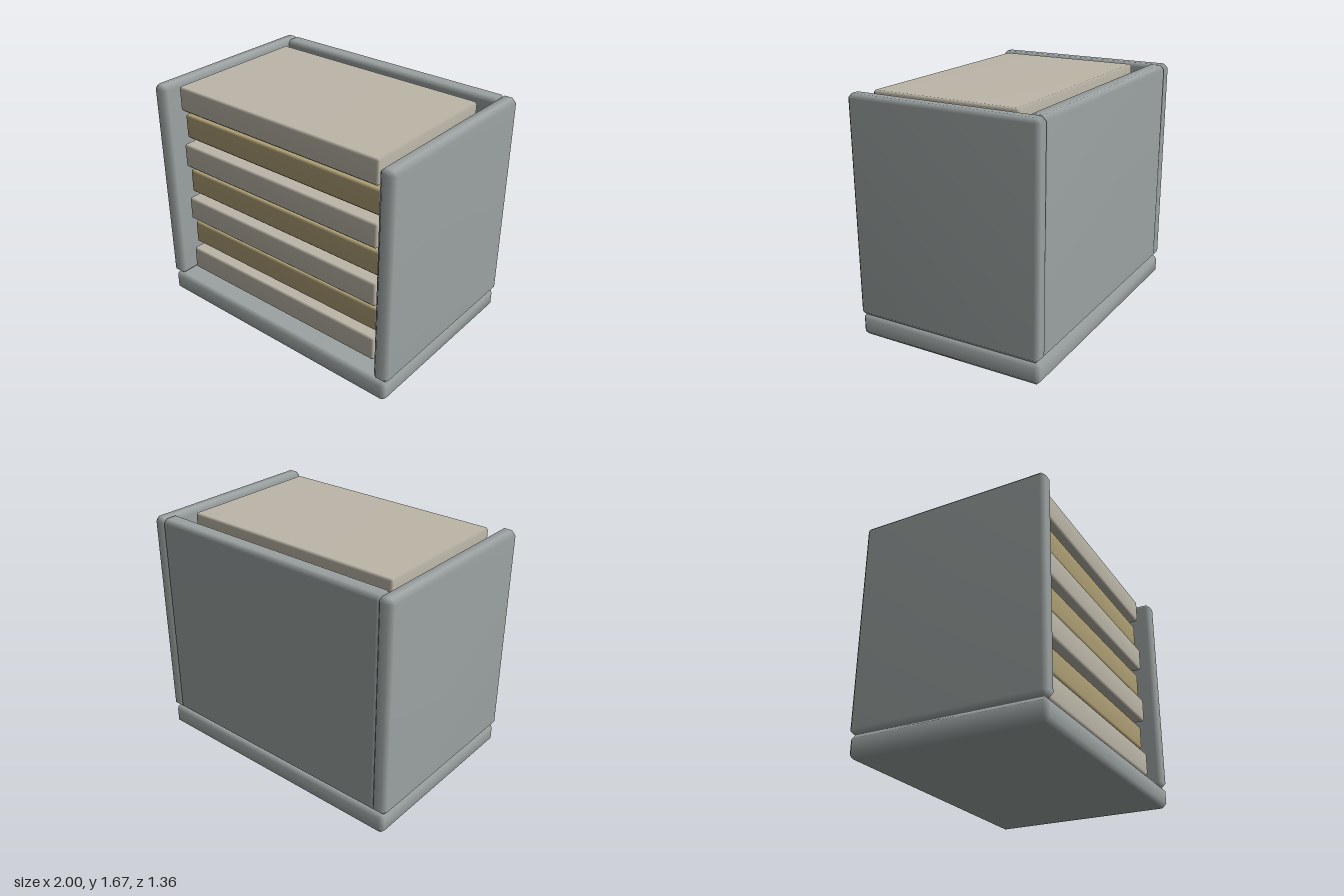
import * as THREE from 'three';
import { mergeVertices } from 'three/addons/utils/BufferGeometryUtils.js';
import { ConvexGeometry } from 'three/addons/geometries/ConvexGeometry.js';

const mat = (name, color) => {
  const m = new THREE.MeshStandardMaterial({ color });
  m.name = name;
  return m;
};

// Box with single-step chamfers and softly averaged normals
function chamferBox(w, h, d, c) {
  const half = [w / 2, h / 2, d / 2];
  const points = [];
  for (const sx of [-1, 1]) for (const sy of [-1, 1]) for (const sz of [-1, 1]) {
    const s = [sx, sy, sz];
    for (let face = 0; face < 3; face++) {
      points.push(new THREE.Vector3(...half.map((v, i) => s[i] * (i === face ? v : v - c))));
    }
  }
  const geo = new ConvexGeometry(points);
  geo.deleteAttribute('normal');
  const merged = mergeVertices(geo, 1e-4);
  merged.computeVertexNormals();
  return merged;
}

export function createModel() {
  const model = new THREE.Group();
  model.name = 'shelvedCabinet';
  const grey = mat('greyCasing', 0x9ca3a2);
  const cream = mat('creamSlab', 0xbcb6a8);
  const tan = mat('tanSlab', 0xad9e74);

  // Adds a chamfered box given its extents along each axis
  const add = (name, material, [x0, x1], [y0, y1], [z0, z1], chamfer) => {
    const mesh = new THREE.Mesh(chamferBox(x1 - x0, y1 - y0, z1 - z0, chamfer), material);
    mesh.position.set((x0 + x1) / 2, (y0 + y1) / 2, (z0 + z1) / 2);
    mesh.name = name;
    model.add(mesh);
  };

  // Casing: plinth, two sides and a back, open at front and top
  const wallY = [0.155, 1.667];
  add('base', grey, [-0.985, 0.985], [0, 0.155], [-0.68, 0.68], 0.03);
  add('leftSide', grey, [0.885, 1], wallY, [-0.68, 0.68], 0.03);
  add('rightSide', grey, [-1, -0.885], wallY, [-0.68, 0.68], 0.03);
  add('back', grey, [-0.92, 0.92], wallY, [-0.68, -0.55], 0.03);

  // Stack of slabs, alternating colour and set slightly back
  for (let i = 0; i < 7; i++) {
    const odd = i % 2 === 1;
    const y = 0.217 + i * 0.2123;
    const shift = odd ? -0.033 : 0;
    add(`slab${i + 1}`, odd ? tan : cream, [-0.832, 0.832], [y, y + 0.176],
      [-0.455 + shift, 0.6 + shift], 0.014);
  }
  return model;
}
